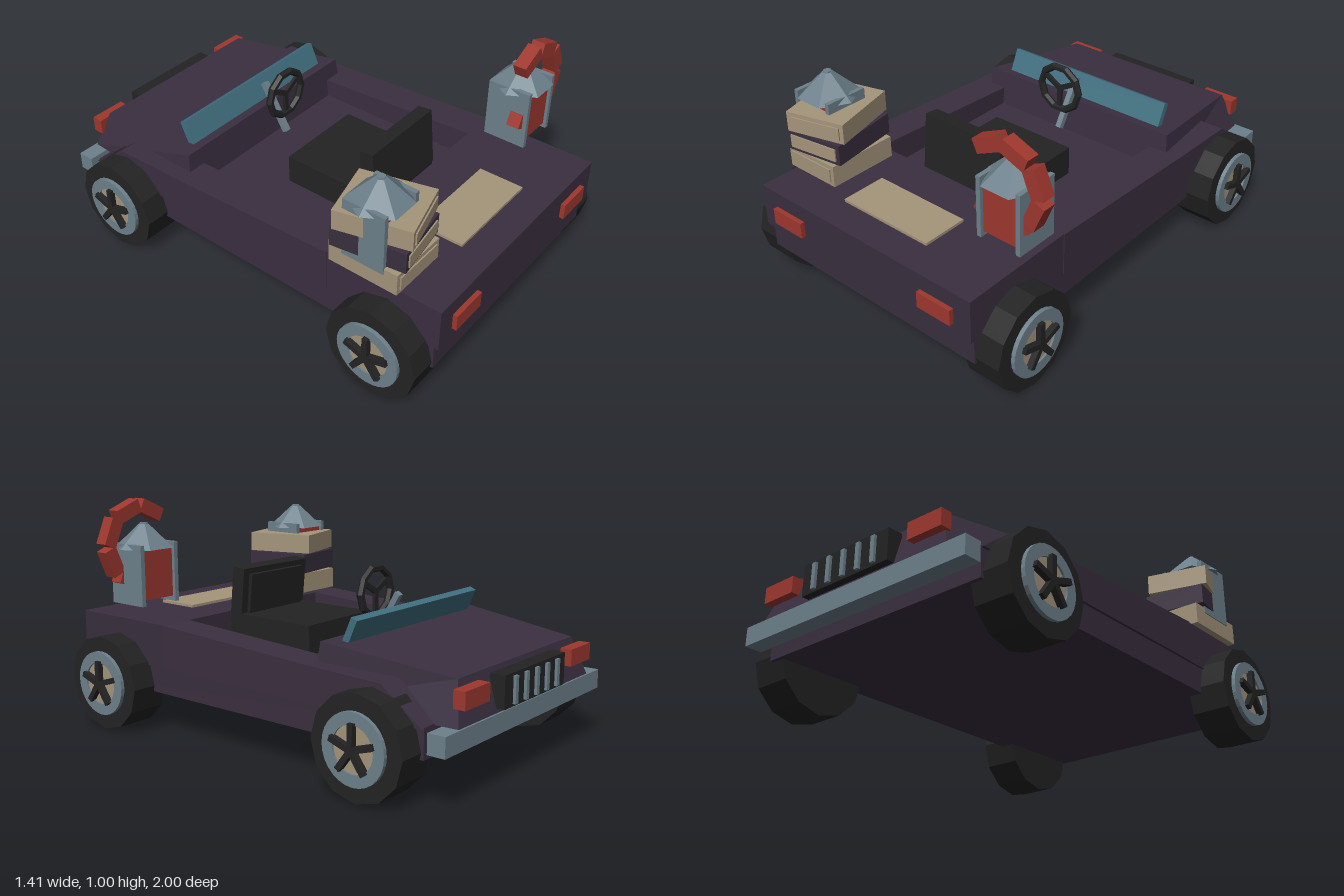
import * as THREE from 'three';

const mat = (name, color) => {
  const m = new THREE.MeshStandardMaterial({ color });
  m.name = name;
  return m;
};

export function createModel() {
  const paint = mat('plum paint', 0x3a2f40);
  const tan = mat('tan', 0xa5957b);
  const steel = mat('blue grey steel', 0x6d818c);
  const red = mat('red', 0x9e372e);
  const black = mat('black', 0x232323);
  const glass = mat('teal glass', 0x417080);

  const car = new THREE.Group();
  car.name = 'car';

  const add = (parent, name, geo, m, x = 0, y = 0, z = 0) => {
    const flat = geo.index ? geo.toNonIndexed() : geo;
    flat.computeVertexNormals();
    const mesh = new THREE.Mesh(flat, m);
    mesh.name = name;
    mesh.position.set(x, y, z);
    parent.add(mesh);
    return mesh;
  };
  // Box given by its limits on each axis
  const span = (parent, name, m, x0, x1, y0, y1, z0, z1) =>
    add(parent, name, new THREE.BoxGeometry(x1 - x0, y1 - y0, z1 - z0), m,
      (x0 + x1) / 2, (y0 + y1) / 2, (z0 + z1) / 2);
  // Side outline of [z, y] points, extruded across x
  const profile = (name, pts, x0, x1) => {
    const shape = new THREE.Shape(pts.map(([z, y]) => new THREE.Vector2(-z, y)));
    const geo = new THREE.ExtrudeGeometry(shape, { depth: x1 - x0, bevelEnabled: false });
    geo.rotateY(Math.PI / 2);
    return add(car, name, geo, paint, x0, 0, 0);
  };

  // Body: lower tub, cockpit floor, rear deck and sloping side walls
  span(car, 'lowerBody', paint, -0.56, 0.56, 0.18, 0.3, -0.86, 0.957);
  span(car, 'cockpitFloor', paint, -0.43, 0.43, 0.29, 0.36, -0.4, 0.5);
  span(car, 'rearDeck', paint, -0.568, 0.568, 0.295, 0.482, 0.46, 0.98);
  const wall = [[0.46, 0.295], [0.46, 0.482], [-0.32, 0.442], [-0.68, 0.43], [-0.86, 0.295]];
  profile('leftWall', wall, 0.42, 0.572);
  profile('rightWall', wall, -0.572, -0.42);

  // Hood: a box pulled into a tapered wedge
  const hoodGeo = new THREE.BoxGeometry(2, 2, 2);
  const p = hoodGeo.attributes.position;
  for (let i = 0; i < p.count; i++) {
    const top = p.getY(i) > 0, rear = p.getZ(i) > 0;
    const [hw, y, z] = top
      ? (rear ? [0.495, 0.52, -0.338] : [0.43, 0.457, -0.91])
      : (rear ? [0.52, 0.295, -0.315] : [0.49, 0.295, -0.957]);
    p.setXYZ(i, Math.sign(p.getX(i)) * hw, y, z);
  }
  add(car, 'hood', hoodGeo, paint);

  // Windshield, bumper and grille
  const shield = add(car, 'windshield', new THREE.BoxGeometry(0.84, 0.11, 0.03), glass, 0, 0.556, -0.418);
  shield.rotation.x = -0.42;
  span(car, 'bumper', steel, -0.585, 0.585, 0.215, 0.295, -0.965, -0.89);
  span(car, 'grille', black, -0.23, 0.23, 0.31, 0.44, -0.985, -0.92);
  for (let i = -2; i <= 2; i++) {
    span(car, 'grilleBar', steel, i * 0.08 - 0.01, i * 0.08 + 0.01, 0.32, 0.428, -0.997, -0.97);
  }
  for (const s of [-1, 1]) {
    add(car, 'hoodLamp', new THREE.BoxGeometry(0.165, 0.07, 0.05), red, s * 0.395, 0.397, -0.948);
    add(car, 'deckLamp', new THREE.BoxGeometry(0.165, 0.07, 0.03), red, s * 0.403, 0.378, 0.985);
  }
  span(car, 'deckPanel', tan, -0.225, 0.225, 0.475, 0.494, 0.645, 0.845);

  // Seat
  span(car, 'seatBase', black, -0.205, 0.205, 0.35, 0.488, -0.035, 0.42);
  const back = add(car, 'seatBack', new THREE.BoxGeometry(0.41, 0.25, 0.065), black, 0, 0.567, 0.38);
  back.rotation.x = -0.1;
  add(back, 'seatBackCushion', new THREE.BoxGeometry(0.34, 0.21, 0.02), black, 0, -0.005, -0.04);

  // Steering wheel and column
  const steering = new THREE.Group();
  steering.name = 'steeringWheel';
  steering.position.set(0, 0.627, -0.225);
  car.add(steering);
  add(steering, 'steeringRim', new THREE.TorusGeometry(0.103, 0.017, 6, 10), black);
  for (let i = 0; i < 3; i++) {
    const a = Math.PI / 2 + i * Math.PI * 2 / 3 + Math.PI;
    const spoke = add(steering, 'steeringSpoke', new THREE.BoxGeometry(0.1, 0.022, 0.014), black,
      Math.cos(a) * 0.05, Math.sin(a) * 0.05, 0);
    spoke.rotation.z = a;
  }
  const column = add(car, 'steeringColumn', new THREE.BoxGeometry(0.026, 0.24, 0.026), steel, 0, 0.53, -0.285);
  column.rotation.x = -0.53;

  // Wheels: tyre, rim ring, tan disc and five spokes
  const wheel = (s, z) => {
    const g = new THREE.Group();
    g.name = 'wheel';
    g.position.set(s * 0.585, 0.206, z);
    g.rotation.y = s * Math.PI / 2;
    car.add(g);
    const disc = (name, r, depth, m, at, sides) => {
      const geo = new THREE.CylinderGeometry(r, r, depth, sides).rotateX(Math.PI / 2);
      return add(g, name, geo, m, 0, 0, at);
    };
    disc('tyre', 0.207, 0.17, black, 0, 12);
    const ring = new THREE.Shape().absarc(0, 0, 0.14, 0, Math.PI * 2);
    ring.holes.push(new THREE.Path().absarc(0, 0, 0.092, 0, Math.PI * 2, true));
    add(g, 'rimRing', new THREE.ExtrudeGeometry(ring, { depth: 0.022, bevelEnabled: false, curveSegments: 14 }),
      steel, 0, 0, 0.08);
    disc('hubDisc', 0.094, 0.02, tan, 0.084, 14);
    for (let i = 0; i < 5; i++) {
      const a = Math.PI / 2 + i * Math.PI * 0.4;
      const spoke = add(g, 'wheelSpoke', new THREE.BoxGeometry(0.1, 0.024, 0.03), black,
        Math.cos(a) * 0.05, Math.sin(a) * 0.05, 0.104);
      spoke.rotation.z = a;
    }
  };
  for (const s of [-1, 1]) for (const z of [0.745, -0.643]) wheel(s, z);

  // Lanterns: red core between steel side panels under a six-sided roof
  const lantern = (x) => {
    const g = new THREE.Group();
    g.name = 'lantern';
    g.position.set(x, 0, 0.65);
    car.add(g);
    span(g, 'lanternCore', red, -0.08, 0.08, 0.575, 0.79, -0.083, 0.083);
    for (const s of [-1, 1]) {
      add(g, 'lanternSide', new THREE.BoxGeometry(0.02, 0.26, 0.19), steel, s * 0.093, 0.682, 0);
    }
    const roof = new THREE.CylinderGeometry(0.022, 0.13, 0.1, 6).rotateY(Math.PI / 6);
    add(g, 'lanternRoof', roof, steel, 0, 0.84, 0);
    add(g, 'lanternCap', new THREE.CylinderGeometry(0.018, 0.02, 0.02, 6), steel, 0, 0.886, 0);
    return g;
  };
  lantern(-0.497);
  const handled = lantern(0.492);

  // Curved handle made of short blocks around a circle
  for (let i = 0; i < 6; i++) {
    const a = THREE.MathUtils.degToRad(115 - i * 46);
    const block = add(handled, 'handleBlock', new THREE.BoxGeometry(0.06, 0.12, 0.058), red,
      Math.cos(a) * 0.157, 0.8 + Math.sin(a) * 0.157, 0.048);
    block.rotation.z = a;
  }

  // Stack of twisted books, each with a page plate on its end
  const books = [
    [0.484, 0.578, 0, tan],
    [0.582, 0.672, 0.15, paint],
    [0.678, 0.766, 0.265, tan],
  ];
  for (const [y0, y1, turn, m] of books) {
    const book = new THREE.Group();
    book.name = 'book';
    book.position.set(-0.463, 0, 0.648);
    book.rotation.y = turn;
    car.add(book);
    span(book, 'bookCover', m, -0.133, 0.133, y0, y1, -0.157, 0.157);
    span(book, 'bookPages', tan, -0.115, 0.115, y0 + 0.016, y1 - 0.018, 0.15, 0.163);
  }

  return car;
}
